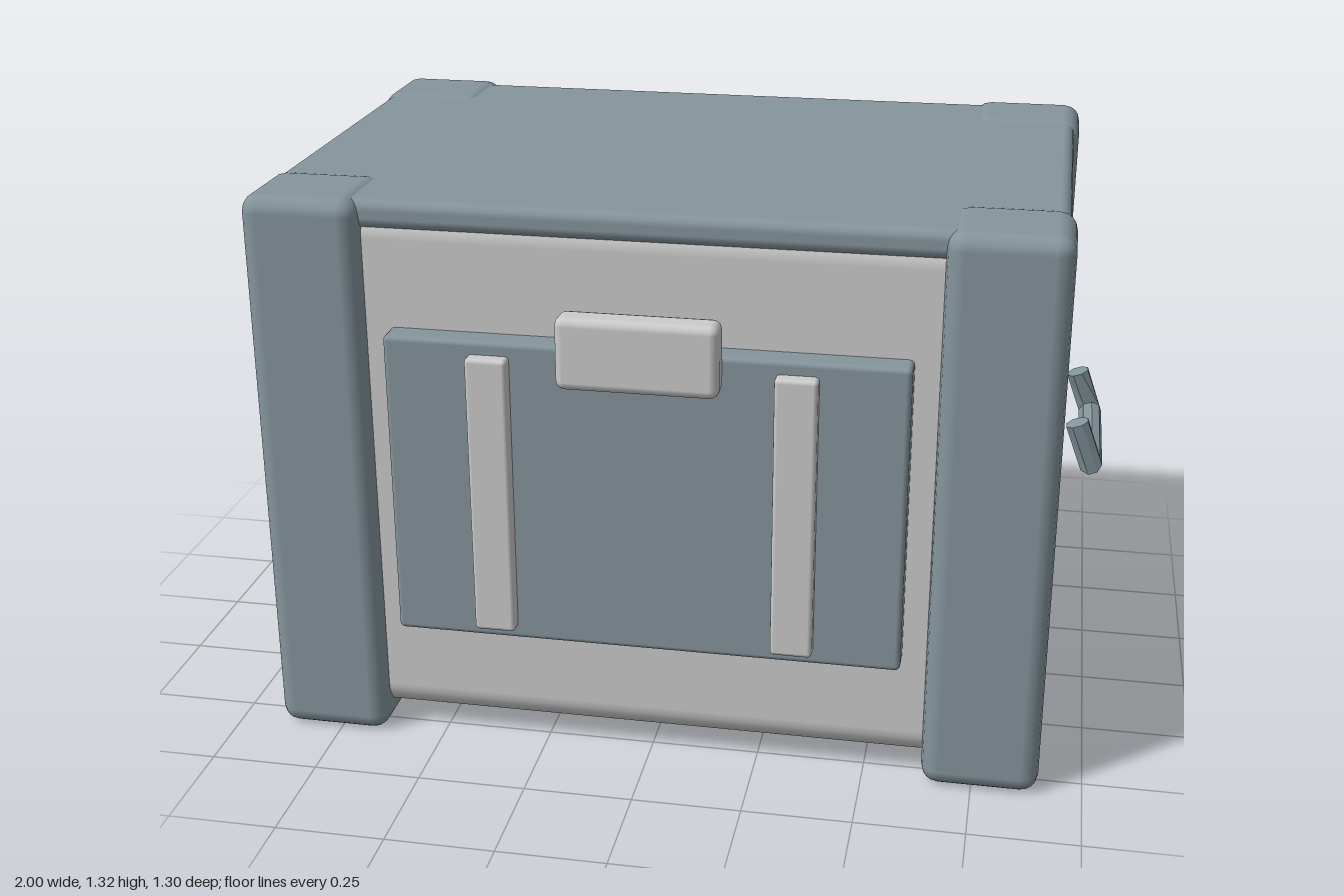
import * as THREE from 'three';
import { RoundedBoxGeometry } from 'three/addons/geometries/RoundedBoxGeometry.js';

const grey = new THREE.MeshStandardMaterial({ color: 0xcccccc });
const blue = new THREE.MeshStandardMaterial({ color: 0x85959d });
const blueFlat = new THREE.MeshStandardMaterial({ color: 0x85959d, flatShading: true });

// Rounded box given by its extents on each axis
function block(name, [x0, x1], [y0, y1], [z0, z1], radius, material, segments = 2) {
  const geometry = new RoundedBoxGeometry(x1 - x0, y1 - y0, z1 - z0, segments, radius);
  const mesh = new THREE.Mesh(geometry, material);
  mesh.name = name;
  mesh.position.set((x0 + x1) / 2, (y0 + y1) / 2, (z0 + z1) / 2);
  return mesh;
}

// U-shaped handle: eight-sided rings swept down one arm, along the bar, up the other arm
function handleGeometry(side) {
  const sides = 8;
  const across = new THREE.Vector3(0.94, 0.33, 0).multiplyScalar(0.028);
  const rings = [
    { c: [0.936, 0.742, 0.17], v: [0, 0, 0.029] },
    { c: [0.973, 0.641, 0.168], v: [0.008, -0.024, 0.01] },
    { c: [0.973, 0.641, -0.168], v: [0.008, -0.024, -0.01] },
    { c: [0.936, 0.742, -0.17], v: [0, 0, -0.029] },
  ];
  const positions = [];
  const index = [];
  for (const { c, v } of rings) {
    for (let i = 0; i < sides; i++) {
      const a = ((i + 0.5) / sides) * Math.PI * 2;
      const p = new THREE.Vector3(...c)
        .addScaledVector(across, Math.cos(a))
        .addScaledVector(new THREE.Vector3(...v), Math.sin(a));
      positions.push(p.x * side, p.y, p.z);
    }
  }
  const face = (a, b, c) => (side > 0 ? index.push(a, b, c) : index.push(a, c, b));
  for (let r = 0; r < rings.length - 1; r++) {
    for (let i = 0; i < sides; i++) {
      const a = r * sides + i;
      const b = r * sides + ((i + 1) % sides);
      face(a, b, a + sides);
      face(b, b + sides, a + sides);
    }
  }
  // End caps
  const last = (rings.length - 1) * sides;
  for (let i = 1; i < sides - 1; i++) {
    face(0, i + 1, i);
    face(last, last + i, last + i + 1);
  }
  const geometry = new THREE.BufferGeometry();
  geometry.setAttribute('position', new THREE.Float32BufferAttribute(positions, 3));
  geometry.setIndex(index);
  geometry.computeVertexNormals();
  return geometry;
}

export function createModel() {
  const model = new THREE.Group();
  model.name = 'storageCrate';

  // Body and lid
  model.add(block('body', [-0.878, 0.878], [0.045, 1.29], [-0.61, 0.535], 0.07, grey, 4));
  model.add(block('lid', [-0.887, 0.887], [1.243, 1.31], [-0.617, 0.542], 0.025, blue));

  // Four corner posts
  for (const side of [-1, 1]) {
    const xs = side > 0 ? [0.635, 0.9] : [-0.9, -0.635];
    model.add(block('frontCornerPost', xs, [0, 1.315], [0.335, 0.578], 0.04, blue));
    model.add(block('backCornerPost', xs, [0, 1.315], [-0.65, -0.41], 0.04, blue));
  }

  // Front panel with its two strips and latch
  model.add(block('frontPanel', [-0.58, 0.58], [0.3, 1.02], [0.52, 0.594], 0.012, blue));
  for (const x of [-0.341, 0.338]) {
    model.add(block('panelStrip', [x - 0.047, x + 0.047], [0.33, 0.99], [0.585, 0.625], 0.01, grey));
  }
  model.add(block('latch', [-0.18, 0.176], [0.94, 1.105], [0.58, 0.651], 0.02, grey));

  // Side handles
  for (const side of [-1, 1]) {
    const handle = new THREE.Mesh(handleGeometry(side), blueFlat);
    handle.name = side > 0 ? 'leftHandle' : 'rightHandle';
    handle.position.z = -0.035;
    model.add(handle);
  }
  return model;
}
